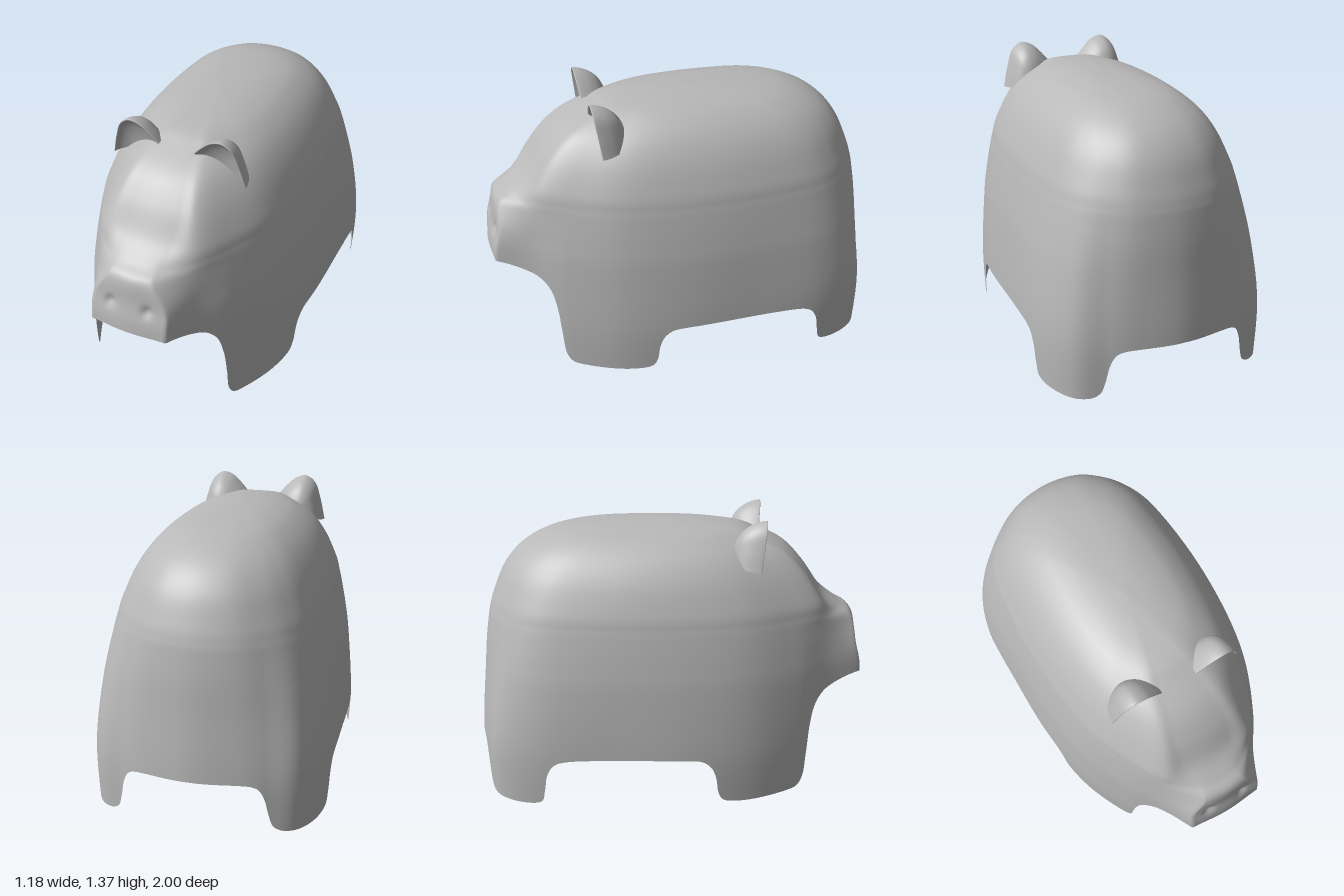
import * as THREE from 'three';

const grey = new THREE.MeshStandardMaterial({ color: 0xb8b8b8, side: THREE.DoubleSide });
grey.name = 'plain grey';

// Smooth-shaded grid of points; optionally closed around the first direction
function gridSurface(name, columns, rows, closed, pointAt) {
  const positions = [], index = [];
  for (let i = 0; i < columns; i++)
    for (let j = 0; j < rows; j++) positions.push(...pointAt(i, j));
  for (let i = 0; i < (closed ? columns : columns - 1); i++) {
    const next = (i + 1) % columns;
    for (let j = 0; j < rows - 1; j++) {
      const a = i * rows + j, b = next * rows + j;
      index.push(a, b, b + 1, a, b + 1, a + 1);
    }
  }
  const geometry = new THREE.BufferGeometry();
  geometry.setAttribute('position', new THREE.Float32BufferAttribute(positions, 3));
  geometry.setIndex(index);
  geometry.computeVertexNormals();
  const mesh = new THREE.Mesh(geometry, grey);
  mesh.name = name;
  return mesh;
}

const { lerp, clamp, smoothstep } = THREE.MathUtils;

// Catmull-Rom through values fetched by index
function smooth(get, t, last) {
  const i = Math.min(Math.floor(t), last - 1), f = t - i;
  const a = get(i - 1), b = get(i), c = get(i + 1), d = get(i + 2);
  return b + 0.5 * f * (c - a + f * (2 * a - 5 * b + 4 * c - d + f * (3 * (b - c) + d - a)));
}

// Levels: height, half width, snout reach, shoulder reach, rear reach, snout half width, snout crease
const LEVELS = [
  [0, 0.582, 1, 1, 1, 0.19, 1], [0.26, 0.587, 1, 1, 1, 0.19, 1], [0.58, 0.56, 1, 0.99, 0.968, 0.195, 1],
  [0.73, 0.537, 0.97, 0.968, 0.952, 0.185, 1], [0.85, 0.513, 0.948, 0.94, 0.933, 0.115, 0.8],
  [0.9, 0.501, 0.875, 0.925, 0.922, 0.1, 0.3], [0.97, 0.482, 0.785, 0.895, 0.899, 0.12, 0],
  [1.1, 0.425, 0.69, 0.79, 0.84, 0.125, 0], [1.2, 0.355, 0.585, 0.667, 0.75, 0.1, 0],
  [1.27, 0.27, 0.44, 0.5, 0.62, 0.075, 0], [1.305, 0.19, 0.34, 0.385, 0.47, 0.055, 0],
  [1.325, 0.1, 0.17, 0.19, 0.25, 0.03, 0], [1.333, 0, 0, 0, 0, 0, 0],
];
const TOP = LEVELS.length - 1;

// Half outline from front centre to rear centre, as fractions of the level's sizes; boxy below, rounder above
const LOW_X = [0, 0, 0.49, 0.695, 0.885, 0.98, 1, 0.982, 0.84, 0.585, 0.34, 0];
const HIGH_X = [0, 0, 0.49, 0.695, 0.885, 0.98, 1, 0.93, 0.79, 0.58, 0.34, 0];
const LOW_Z = [1, 0.985, 0.83, 0.65, 0.4, 0.1, -0.25, -0.62, -0.84, -0.925, -0.972, -1];
const HIGH_Z = [1, 0.985, 0.83, 0.65, 0.41, 0.1, -0.25, -0.6, -0.78, -0.9, -0.972, -1];
const END = LOW_X.length - 1;

function levelAt(v) {
  return LEVELS[0].map((_, k) => smooth((i) => LEVELS[clamp(i, 0, TOP)][k], v, TOP));
}

function bodyPoint(s, v) {
  const [y, width, front, shoulder, rear, snout, crease] = levelAt(v);
  const round = smoothstep(y, 0.3, 1.1);
  const t = Math.abs(s);
  const fold = (i) => (i < 0 ? -i : i > END ? 2 * END - i : i);
  const xAt = (i) => {
    const k = fold(i);
    return (k === i ? 1 : -1) * (k === 1 ? snout : lerp(LOW_X[k], HIGH_X[k], round) * width);
  };
  const zAt = (i) => {
    const k = fold(i), f = lerp(LOW_Z[k], HIGH_Z[k], round);
    return f * (k < 2 ? front : f > 0 ? shoulder : rear);
  };
  // Straighten the curve on either side of the snout's edge
  const edged = (get) => (i) => {
    if (t < 1 && i === 2) return lerp(get(2), 2 * get(1) - get(0), crease);
    if (t >= 1 && t < 2 && i === 0) return lerp(get(0), 2 * get(1) - get(2), crease);
    return get(i);
  };
  const x = smooth(edged(xAt), t, END) * Math.sign(s);
  let z = smooth(edged(zAt), t, END);
  // Shallow nostrils
  if (z > 0.9) z -= 0.02 * Math.exp(-((Math.abs(x) - 0.095) ** 2 + (y - 0.71) ** 2) / 0.0006);
  return [x, y, z];
}

// Find by halving where a test turns false
function solve(test, low, high) {
  for (let n = 0; n < 40; n++) {
    const mid = (low + high) / 2;
    if (test(mid)) low = mid; else high = mid;
  }
  return (low + high) / 2;
}

// Lower edge from snout to rump as depth and height, with both legs
const RIM = [
  [1, 0.58], [0.97, 0.575], [0.86, 0.545], [0.79, 0.51], [0.745, 0.45], [0.72, 0.35], [0.705, 0.2],
  [0.69, 0.06], [0.66, 0.015], [0.6, 0.005], [0.34, 0.005], [0.28, 0.02], [0.255, 0.06], [0.24, 0.15],
  [0.215, 0.21], [0.17, 0.245], [0.1, 0.254], [-0.48, 0.254], [-0.55, 0.235], [-0.59, 0.18],
  [-0.61, 0.08], [-0.63, 0.02], [-0.68, 0.005], [-0.87, 0.004], [-0.9, 0.015], [-0.912, 0.04],
  [-0.92, 0.1], [-0.928, 0.18], [-0.938, 0.23], [-0.95, 0.25], [-1, 0.262],
];

function buildBody() {
  const knots = RIM.map(([z, y], i) => {
    const s = i === 0 ? 0 : i === RIM.length - 1 ? END : solve((t) => bodyPoint(t, 1)[2] > z, 0, END);
    return new THREE.Vector3(s, y * 6, 0);
  });
  const half = new THREE.CatmullRomCurve3(knots).getSpacedPoints(220).map((p) => {
    const y = Math.max(p.y / 6, 0);
    return { s: clamp(p.x, 0, END), v: solve((v) => levelAt(v)[0] < y, 0, TOP) };
  });
  // Mirror the half rim into a closed loop
  const loop = [...half.slice(1).reverse().map(({ s, v }) => ({ s: -s, v })), ...half.slice(0, -1)];
  const rows = 72;
  return gridSurface('bodyShell', loop.length, rows, true, (i, j) =>
    bodyPoint(loop[i].s, lerp(loop[i].v, TOP, j / (rows - 1))));
}

// Ear: a leaning half dome with a shallow hollow front
function buildEar(side) {
  const rim = new THREE.CatmullRomCurve3([
    [0.09, 1.27], [0.13, 1.315], [0.18, 1.357], [0.235, 1.37], [0.285, 1.335], [0.318, 1.25], [0.345, 1.145],
  ].map(([x, y]) => new THREE.Vector3(x, y, 0)));
  const centre = new THREE.Vector3(0.215, 1.2, 0);
  // Size of each ring and its depth, from hollow over the rim to the back
  const section = new THREE.CatmullRomCurve3([
    [0, 0.41], [0.5, 0.418], [0.85, 0.435], [0.97, 0.45], [1, 0.447], [0.98, 0.425],
    [0.91, 0.39], [0.8, 0.36], [0.65, 0.335], [0.35, 0.312], [0, 0.305],
  ].map(([r, z]) => new THREE.Vector3(r, 0, z)));
  const columns = 33, rows = 41;
  return gridSurface(side > 0 ? 'leftEar' : 'rightEar', columns, rows, false, (i, j) => {
    const t = i / (columns - 1);
    const ring = section.getPoint(j / (rows - 1));
    const p = rim.getPoint(side > 0 ? t : 1 - t).sub(centre).multiplyScalar(ring.x).add(centre);
    return [side * p.x, p.y, ring.z + (p.y - 1.15) * 0.13];
  });
}

export function createModel() {
  const model = new THREE.Group();
  model.name = 'pigShell';
  model.add(buildBody(), buildEar(1), buildEar(-1));
  return model;
}
